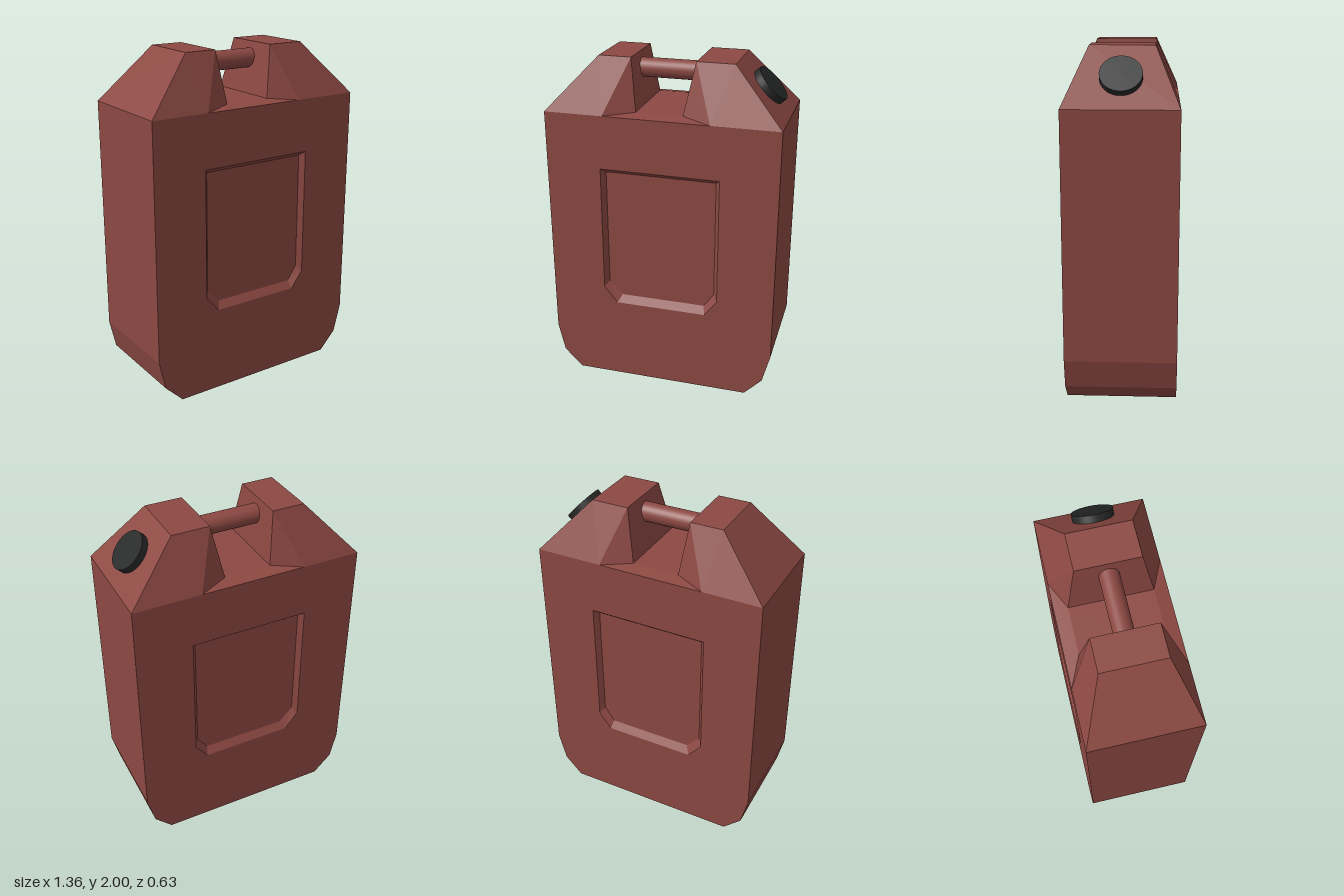
import * as THREE from 'three';

const V = (x, y, z) => new THREE.Vector3(x, y, z);

// Collects flat faces; each is wound so that it faces along the hint direction.
function faceBuilder() {
  const positions = [];
  const tri = (a, b, c, hint) => {
    const n = b.clone().sub(a).cross(c.clone().sub(a));
    const order = n.dot(hint) < 0 ? [a, c, b] : [a, b, c];
    for (const p of order) positions.push(p.x, p.y, p.z);
  };
  const face = (pts, hint) => {
    for (let i = 1; i < pts.length - 1; i++) tri(pts[0], pts[i], pts[i + 1], hint);
  };
  const build = () => {
    const g = new THREE.BufferGeometry();
    g.setAttribute('position', new THREE.Float32BufferAttribute(positions, 3));
    g.computeVertexNormals();
    return g;
  };
  return { tri, face, build };
}

const D = 0.315; // half depth of the can
const SHOULDER = 1.69;
const outline = [[-0.68, SHOULDER], [-0.68, 0.285], [-0.64, 0.11], [-0.53, 0],
  [0.53, 0], [0.635, 0.11], [0.68, 0.285], [0.68, SHOULDER]];
const recessOuter = [[-0.355, 1.375], [0.345, 1.375], [0.345, 0.61],
  [0.27, 0.51], [-0.275, 0.51], [-0.355, 0.61]];
const recessInner = [[-0.33, 1.35], [0.32, 1.35], [0.32, 0.64],
  [0.26, 0.555], [-0.25, 0.555], [-0.33, 0.64]];

// Main tank: front and back with a recessed panel, joined by a band of side walls
function tankGeometry() {
  const b = faceBuilder();
  const to2 = (list) => list.map(([x, y]) => new THREE.Vector2(x, y));
  for (const s of [1, -1]) {
    const out = V(0, 0, s);
    const at = ([x, y], z) => V(x, y, s * z);
    const all = [...outline, ...recessOuter];
    for (const t of THREE.ShapeUtils.triangulateShape(to2(outline), [to2(recessOuter)])) {
      b.tri(...t.map((i) => at(all[i], D)), out);
    }
    const floor = D - 0.03;
    b.face(recessInner.map((p) => at(p, floor)), out);
    recessOuter.forEach((p, i) => {
      const j = (i + 1) % recessOuter.length;
      b.face([at(p, D), at(recessOuter[j], D),
        at(recessInner[j], floor), at(recessInner[i], floor)], out);
    });
  }
  for (let i = 0; i < outline.length - 1; i++) {
    const [p, q] = [outline[i], outline[i + 1]];
    b.face([V(...p, D), V(...q, D), V(...q, -D), V(...p, -D)],
      V((p[0] + q[0]) / 2, (p[1] + q[1]) / 2 - 0.9, 0));
  }
  return b.build();
}

// Top: two sloped shoulders with a saddle between them
function topGeometry() {
  const b = faceBuilder();
  const up = V(0, 1, 0);
  const T = 0.18, S = 0.237, FLOOR = 1.705; // half depths of top and saddle
  const sides = [
    { s: -1, outer: -0.39, inner: -0.2, foot: -0.16, base: -0.335 },
    { s: 1, outer: 0.39, inner: 0.172, foot: 0.113, base: 0.285 },
  ];
  for (const { s, outer, inner, foot, base } of sides) {
    b.face([V(outer, 2, T), V(inner, 2, T), V(inner, 2, -T), V(outer, 2, -T)], up);
    b.face([V(outer, 2, T), V(outer, 2, -T),
      V(s * 0.68, SHOULDER, -D), V(s * 0.68, SHOULDER, D)], V(s, 1, 0));
    b.face([V(inner, 2, T), V(inner, 2, -T), V(foot, FLOOR, -S), V(foot, FLOOR, S)], V(-s, 0, 0));
    for (const m of [1, -1]) {
      b.face([V(outer, 2, m * T), V(inner, 2, m * T),
        V(base, SHOULDER, m * D), V(s * 0.68, SHOULDER, m * D)], V(0, 0.3, m));
      b.face([V(inner, 2, m * T), V(foot, FLOOR, m * S), V(base, SHOULDER, m * D)], V(-s, 0.3, m));
    }
  }
  // saddle floor and its front and back lips
  const [l, r] = sides;
  b.face([V(l.foot, FLOOR, S), V(r.foot, FLOOR, S), V(r.foot, FLOOR, -S), V(l.foot, FLOOR, -S)], up);
  for (const m of [1, -1]) {
    b.face([V(l.foot, FLOOR, m * S), V(r.foot, FLOOR, m * S),
      V(r.base, SHOULDER, m * D), V(l.base, SHOULDER, m * D)], up);
  }
  return b.build();
}

export function createModel() {
  const group = new THREE.Group();
  group.name = 'fuelCan';
  const red = new THREE.MeshStandardMaterial({ color: 0x8c4842 });
  red.name = 'dull red';
  const black = new THREE.MeshStandardMaterial({ color: 0x262727 });
  black.name = 'black';

  const add = (name, geometry, material) => {
    const mesh = new THREE.Mesh(geometry, material);
    mesh.name = name;
    group.add(mesh);
    return mesh;
  };

  add('tank', tankGeometry(), red);
  add('shoulders', topGeometry(), red);

  // Carrying bar between the shoulders
  const handle = add('handle', new THREE.CylinderGeometry(0.056, 0.056, 0.4, 32), red);
  handle.rotation.z = Math.PI / 2;
  handle.position.set(-0.015, 1.905, 0);

  // Screw cap set square on the left shoulder slope
  const normal = V(0.31, 0.29, 0).normalize();
  const cap = add('cap', new THREE.CylinderGeometry(0.115, 0.115, 0.06, 32), black);
  cap.quaternion.setFromUnitVectors(V(0, 1, 0), normal);
  cap.position.set(0.57, 1.867, 0).addScaledVector(normal, -0.03);

  return group;
}
